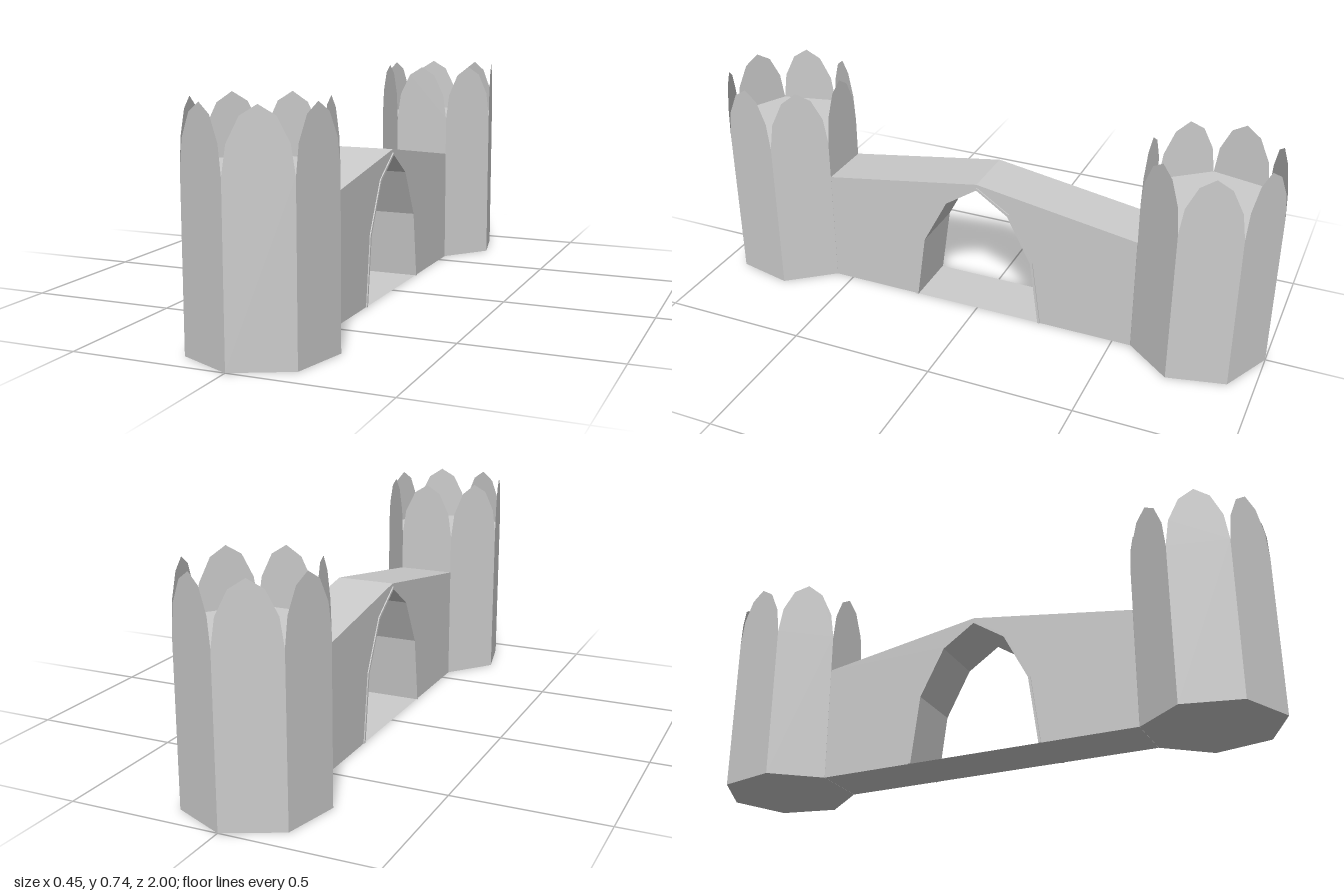
import * as THREE from 'three';

const SIDES = 7, R = 0.229, TOWER_Z = 0.771, TOWER_H = 0.54;
const WALL_W = 0.2, WALL_END = 0.564;

const material = new THREE.MeshStandardMaterial({ color: 0xcccccc, flatShading: true, side: THREE.DoubleSide });

function addMesh(parent, name, geometry) {
  const mesh = new THREE.Mesh(geometry, material);
  mesh.name = name;
  parent.add(mesh);
  return mesh;
}

// Half profile mirrored into a full outline, from +x foot over the top to -x foot
function mirrored(half) {
  return [...half, ...half.slice(0, -1).reverse().map(([x, y]) => [-x, y])];
}

function shapeOf(points) {
  return new THREE.Shape(points.map(([x, y]) => new THREE.Vector2(x, y)));
}

// Extrude a side outline (z, y) across the width of the wall
function extrudeAcross(points, width) {
  const geometry = new THREE.ExtrudeGeometry(shapeOf(points), { depth: width, bevelEnabled: false });
  geometry.translate(0, 0, -width / 2);
  geometry.rotateY(-Math.PI / 2);
  return geometry;
}

// Seven-sided tower with a pointed-arch panel above every side
function createTower(name) {
  const tower = new THREE.Group();
  tower.name = name;
  const body = addMesh(tower, 'towerBody', new THREE.CylinderGeometry(R, R, TOWER_H, SIDES));
  body.position.y = TOWER_H / 2;

  const half = R * Math.sin(Math.PI / SIDES);
  const panel = new THREE.ShapeGeometry(shapeOf(mirrored(
    [[half, 0], [half * 0.87, 0.09], [half * 0.5, 0.165], [0, 0.196]])));
  panel.translate(0, TOWER_H, R * Math.cos(Math.PI / SIDES));
  for (let i = 0; i < SIDES; i++) {
    addMesh(tower, 'battlementPanel', panel).rotation.y = (i + 0.5) * 2 * Math.PI / SIDES;
  }
  return tower;
}

export function createModel() {
  const model = new THREE.Group();
  model.name = 'gatehouse';

  // Towers at both ends, flat side toward the wall
  const front = createTower('frontTower');
  front.position.z = TOWER_Z;
  const back = createTower('backTower');
  back.position.z = -TOWER_Z;
  back.rotation.y = Math.PI;
  model.add(front, back);

  // Wall rising to a ridge over the gate opening
  const inner = mirrored([[0.23, 0], [0.198, 0.235], [0.112, 0.4], [0, 0.475]]);
  const outer = mirrored([[0.238, 0], [0.206, 0.238], [0.118, 0.407], [0, 0.484]]);
  addMesh(model, 'gateWall', extrudeAcross([
    [WALL_END, 0], [WALL_END, 0.405], [0, 0.495], [-WALL_END, 0.405], [-WALL_END, 0],
    ...outer.slice().reverse(),
  ], WALL_W));

  // Thin arch lining, standing slightly proud of the wall
  addMesh(model, 'archLining', extrudeAcross([...outer, ...inner.slice().reverse()], WALL_W + 0.008));

  // Threshold under the arch
  const floor = new THREE.PlaneGeometry(WALL_W, 0.46);
  floor.rotateX(-Math.PI / 2);
  addMesh(model, 'threshold', floor);

  return model;
}
